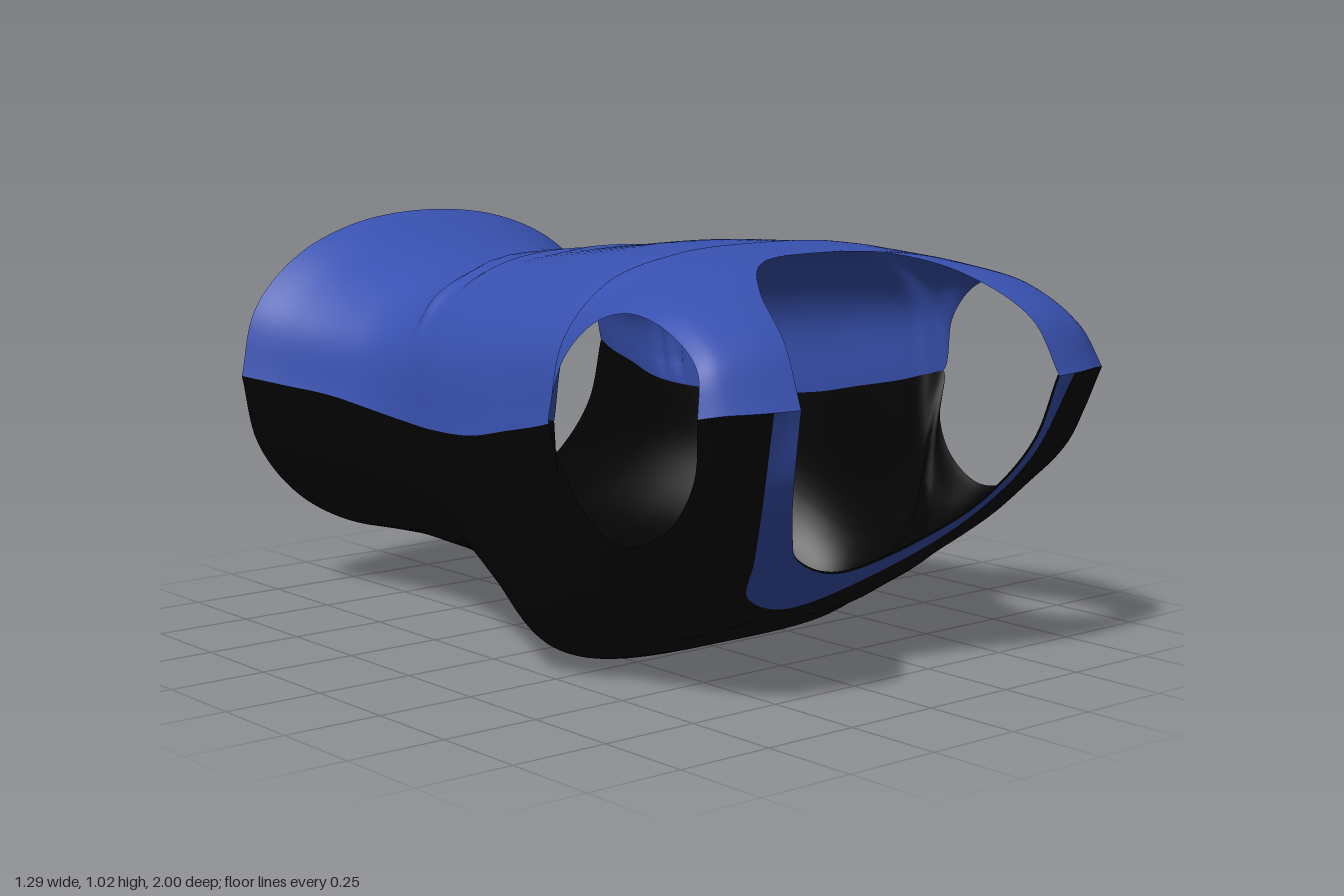
import * as THREE from 'three';
import { mergeGeometries, mergeVertices } from 'three/addons/utils/BufferGeometryUtils.js';

const ROWS = 160, COLS = 28;

// Torso sections: z, half width, side seam y, top y, top roundness, bottom y, bottom roundness
const SECTIONS = [
  [-0.967, 0.615, 0.61, 1.025, 0.93, 0.12, 1],
  [-0.85, 0.565, 0.595, 0.967, 0.9, 0.13, 0.97],
  [-0.7, 0.515, 0.58, 0.94, 0.9, 0.135, 0.94],
  [-0.55, 0.48, 0.555, 0.93, 0.85, 0.13, 0.9],
  [-0.4, 0.485, 0.545, 0.94, 0.8, 0.13, 0.86],
  [-0.2, 0.53, 0.55, 0.97, 0.8, 0.125, 0.78],
  [0, 0.56, 0.565, 0.995, 0.78, 0.07, 0.6],
  [0.17, 0.575, 0.6, 1.015, 0.78, 0.005, 0.46],
  [0.31, 0.59, 0.63, 1.022, 0.78, 0.03, 0.5],
  [0.38, 0.6, 0.65, 1.024, 0.78, 0.072, 0.54],
];

// Yoke rows, each from the armhole edge to the centre or neckline
const TOP_YOKE = [
  [0.64, 0.66, 0.41, 0.597, 0.84, 0.41, 0.47, 0.96, 0.41, 0.25, 1.015, 0.41, 0, 1.025, 0.41],
  [0.628, 0.80, 0.45, 0.58, 0.89, 0.46, 0.45, 0.972, 0.48, 0.24, 1.012, 0.49, 0, 1.02, 0.5],
  [0.61, 0.89, 0.54, 0.56, 0.93, 0.55, 0.44, 0.975, 0.56, 0.23, 1.007, 0.575, 0, 1.012, 0.585],
  [0.60, 0.92, 0.65, 0.55, 0.94, 0.65, 0.45, 0.967, 0.65, 0.33, 0.99, 0.645, 0.2, 1.005, 0.638],
  [0.597, 0.89, 0.78, 0.55, 0.917, 0.78, 0.48, 0.938, 0.775, 0.4, 0.953, 0.77, 0.322, 0.96, 0.765],
  [0.612, 0.82, 0.89, 0.57, 0.84, 0.903, 0.51, 0.853, 0.913, 0.45, 0.86, 0.92, 0.392, 0.86, 0.925],
  [0.645, 0.725, 0.93, 0.59, 0.73, 0.955, 0.53, 0.73, 0.975, 0.48, 0.73, 0.987, 0.412, 0.73, 0.998],
];
const BOTTOM_YOKE = [
  [0.64, 0.66, 0.41, 0.575, 0.4, 0.41, 0.525, 0.22, 0.41, 0.3, 0.1, 0.41, 0, 0.093, 0.41],
  [0.61, 0.54, 0.43, 0.567, 0.36, 0.45, 0.5, 0.22, 0.46, 0.3, 0.125, 0.47, 0, 0.12, 0.47],
  [0.595, 0.45, 0.49, 0.56, 0.34, 0.51, 0.48, 0.22, 0.52, 0.28, 0.16, 0.53, 0, 0.152, 0.53],
  [0.59, 0.395, 0.6, 0.56, 0.35, 0.6, 0.46, 0.26, 0.6, 0.33, 0.22, 0.6, 0.2, 0.215, 0.6],
  [0.59, 0.45, 0.76, 0.55, 0.42, 0.76, 0.48, 0.38, 0.77, 0.4, 0.36, 0.77, 0.34, 0.36, 0.775],
  [0.612, 0.58, 0.88, 0.57, 0.54, 0.89, 0.52, 0.53, 0.89, 0.47, 0.52, 0.9, 0.43, 0.52, 0.9],
  [0.645, 0.725, 0.93, 0.59, 0.73, 0.955, 0.56, 0.73, 0.965, 0.52, 0.73, 0.978, 0.48, 0.73, 0.987],
];
// Inner edge of the neck band, continuing from its outer edge on the lower panel
const NECK_EDGE = [[0, 0.27, 0.71], [0.2, 0.333, 0.77], [0.31, 0.43, 0.865], [0.385, 0.57, 0.95], [0.412, 0.73, 0.998]];

const toPoints = (row) =>
  Array.from({ length: row.length / 3 }, (_, i) => new THREE.Vector3().fromArray(row, i * 3));

// Five points from the side seam to the centre line
function section([z, w, seam, top, topP, bottom, bottomP], isTop, isHem) {
  const y = isTop ? top : bottom, p = isTop ? topP : bottomP;
  return Array.from({ length: 5 }, (_, j) => {
    const a = (j * Math.PI) / 8, s = Math.sin(a);
    const x = j === 4 ? 0 : w * Math.cos(a) ** p;
    const sag = isHem ? (isTop ? 0.014 : 0.033) * s * s : 0;
    return new THREE.Vector3(x, seam + (y - seam) * s ** p, z - sag);
  });
}

// Fold ridges around the waist, tapering at their ends
function fold(p) {
  if (p.y < 0.58) return;
  const ridge = (zc, x0, x1, amount) => {
    const ends = THREE.MathUtils.smoothstep(p.x, x0, x0 + 0.12) * (1 - THREE.MathUtils.smoothstep(p.x, x1 - 0.12, x1));
    return amount * ends * Math.exp(-(((p.z - zc) / 0.018) ** 2));
  };
  const k = 1 + ridge(-0.42 - 0.08 * p.x + 0.012 * Math.sin(p.x * 19), -0.48, 0.62, 0.035)
    + ridge(-0.3 + 0.03 * p.x, -0.4, 0.12, 0.025)
    + ridge(-0.19, -0.15, 0.33, 0.022)
    + ridge(-0.54 + 0.05 * p.x, 0.25, 0.62, 0.025);
  p.x *= k;
  p.y = 0.55 + (p.y - 0.55) * k;
}

// Grid of points to an indexed surface
function surface(grid, flip) {
  const n = grid[0].length, index = [];
  for (let i = 0; i < grid.length - 1; i++) {
    for (let j = 0; j < n - 1; j++) {
      const a = i * n + j, b = a + 1, c = a + n, d = c + 1;
      if (flip) index.push(a, c, b, b, c, d);
      else index.push(a, b, c, b, d, c);
    }
  }
  const g = new THREE.BufferGeometry().setFromPoints(grid.flat());
  g.setIndex(index);
  return g;
}

// Both halves joined with smooth normals
function mirrored(grid, flip, shape) {
  const halves = [1, -1].map((side) =>
    surface(grid.map((row) => row.map((p) => {
      const q = new THREE.Vector3(p.x * side, p.y, p.z);
      if (shape) shape(q);
      return q;
    })), side < 0 ? !flip : flip));
  const g = mergeVertices(mergeGeometries(halves), 1e-4);
  g.computeVertexNormals();
  return g;
}

// Curve that starts on the centre line and leaves it square to it
function fromCentre(points) {
  const [, next] = points;
  const curve = new THREE.CatmullRomCurve3([new THREE.Vector3(-next.x, next.y, next.z), ...points]);
  return (t) => curve.getPoint((1 + t * (points.length - 1)) / points.length);
}

// Smooth half panel through rows of control points; the last column turns from centre line to neckline
function loft(rows) {
  const columns = rows[0].map((_, j) => new THREE.CatmullRomCurve3(rows.map((r) => r[j])));
  const split = rows.findIndex((r) => r[4].x > 0) - 1;
  const splitT = split / (rows.length - 1);
  const centre = new THREE.CatmullRomCurve3(rows.slice(0, split + 1).map((r) => r[4]));
  const neck = fromCentre(rows.slice(split).map((r) => r[4]));
  return Array.from({ length: ROWS + 1 }, (_, i) => {
    const t = i / ROWS, centred = t <= splitT;
    const pts = columns.map((c) => c.getPoint(t));
    pts[4] = centred ? centre.getPoint(t / splitT) : neck((t - splitT) / (1 - splitT));
    if (centred) pts.push(new THREE.Vector3(-pts[3].x, pts[3].y, pts[3].z));
    const curve = new THREE.CatmullRomCurve3(pts);
    return Array.from({ length: COLS + 1 }, (_, j) => curve.getPoint((j / COLS) * (centred ? 0.8 : 1)));
  });
}

export function createModel() {
  const group = new THREE.Group();
  group.name = 'sleevelessTop';
  const blue = new THREE.MeshStandardMaterial({ name: 'blue cloth', color: 0x3851b0, side: THREE.DoubleSide });
  const black = new THREE.MeshStandardMaterial({ name: 'black cloth', color: 0x030303, side: THREE.DoubleSide });
  const add = (name, geometry, material) => {
    const mesh = new THREE.Mesh(geometry, material);
    mesh.name = name;
    group.add(mesh);
  };
  const panel = (isTop, yoke) =>
    loft([...SECTIONS.map((s, i) => section(s, isTop, i === 0)), ...yoke.map(toPoints)]);

  // Back and front panels with their shoulder straps
  add('backPanel', mirrored(panel(true, TOP_YOKE), false, fold), blue);
  const front = panel(false, BOTTOM_YOKE);
  add('frontPanel', mirrored(front, true), black);

  // Band along the front neckline, starting at the panel's own edge
  const first = Math.floor((ROWS * (SECTIONS.length + 2)) / (SECTIONS.length + 6));
  const outer = front.slice(first).map((r) => r[COLS]);
  const edge = fromCentre(NECK_EDGE.map((p) => new THREE.Vector3(...p)));
  const band = outer.map((p, i) => {
    const q = edge(i / (outer.length - 1));
    return Array.from({ length: 5 }, (_, j) => p.clone().lerp(q, j / 4));
  });
  const bandGeometry = mirrored(band, true);
  add('neckBand', bandGeometry, blue);

  // Black lining just inside the band
  const lining = bandGeometry.clone();
  const { position, normal } = lining.attributes;
  const p = new THREE.Vector3(), n = new THREE.Vector3();
  for (let i = 0; i < position.count; i++) {
    p.fromBufferAttribute(position, i).addScaledVector(n.fromBufferAttribute(normal, i), -0.005);
    position.setXYZ(i, p.x, p.y, p.z);
  }
  add('neckBandLining', lining, black);
  return group;
}
